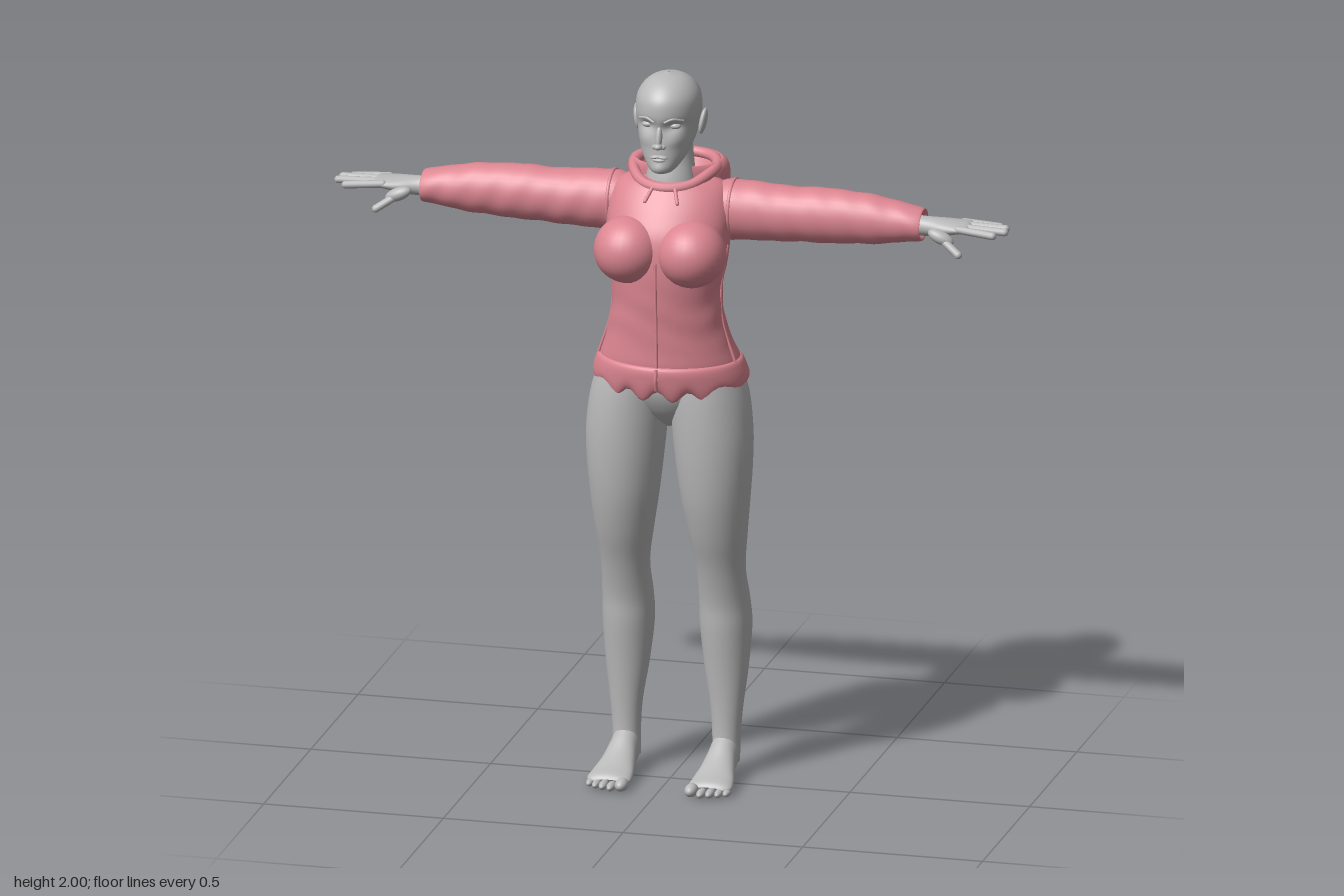
import * as THREE from 'three';

const skin = new THREE.MeshStandardMaterial({ color: 0xb9b9b9 });
skin.name = 'grey skin';
const cloth = new THREE.MeshStandardMaterial({ color: 0xdc8691 });
cloth.name = 'pink cloth';

// Smooth loft through oval sections along an axis; each row is [t, a0, a1, b0, b1].
// Axis y: a = x, b = z. Axis x: a = z, b = y. Axis z: a = x, b = y.
function loft(axis, rows, { seg = 32, sub = 5, warp } = {}) {
  const pos = [], idx = [], n = (rows.length - 1) * sub;
  for (let i = 0; i <= n; i++) {
    const k = Math.min(Math.floor(i / sub), rows.length - 2), u = i / sub - k;
    const at = m => rows[Math.max(0, Math.min(rows.length - 1, m))];
    const [t, a0, a1, b0, b1] = rows[k].map((p1, c) => {
      const p0 = at(k - 1)[c], p2 = at(k + 1)[c], p3 = at(k + 2)[c];
      return p1 + 0.5 * u * (p2 - p0 + u * (2 * p0 - 5 * p1 + 4 * p2 - p3 + u * (3 * (p1 - p2) + p3 - p0)));
    });
    for (let j = 0; j < seg; j++) {
      const q = (j / seg) * Math.PI * 2, c = Math.cos(q), s = Math.sin(q);
      const oval = (w, lo, hi) => (lo + hi) / 2 + w * (hi - lo) / 2;
      const v = axis === 'y' ? new THREE.Vector3(oval(c, a0, a1), t, oval(s, b0, b1))
        : axis === 'x' ? new THREE.Vector3(t, oval(s, b0, b1), oval(c, a0, a1))
        : new THREE.Vector3(oval(s, a0, a1), oval(c, b0, b1), t);
      if (warp) warp(v, q);
      pos.push(v.x, v.y, v.z);
      if (i < n) {
        const a = i * seg + j, d = i * seg + (j + 1) % seg;
        idx.push(a, a + seg, d, d, a + seg, d + seg);
      }
    }
  }
  const g = new THREE.BufferGeometry();
  g.setAttribute('position', new THREE.Float32BufferAttribute(pos, 3));
  g.setIndex(idx);
  g.computeVertexNormals();
  return g;
}

// Loft along y, symmetric in x: rows are [y, halfWidth, back, front]
const trunk = (rows, opt) => loft('y', rows.map(([y, w, b, f]) => [y, -w, w, b, f]), opt);

function ball(x, y, z, rx, ry, rz, tiltX = 0, tiltZ = 0) {
  return new THREE.SphereGeometry(1, 28, 20).scale(rx, ry, rz).rotateX(tiltX).rotateZ(tiltZ).translate(x, y, z);
}

function rod(from, to, r) {
  const a = new THREE.Vector3(...from), b = new THREE.Vector3(...to), d = b.clone().sub(a);
  const q = new THREE.Quaternion().setFromUnitVectors(new THREE.Vector3(0, 1, 0), d.clone().normalize());
  const mid = a.add(b).multiplyScalar(0.5);
  return new THREE.CapsuleGeometry(r, d.length(), 6, 12).applyQuaternion(q).translate(mid.x, mid.y, mid.z);
}

function tube(points, r, closed = false) {
  const curve = new THREE.CatmullRomCurve3(points.map(p => new THREE.Vector3(...p)), closed);
  return new THREE.TubeGeometry(curve, 60, r, 10, closed);
}

function mirrored(geo) {
  const g = geo.clone().scale(-1, 1, 1), ix = g.index.array;
  for (let i = 0; i < ix.length; i += 3) [ix[i], ix[i + 1]] = [ix[i + 1], ix[i]];
  return g;
}

export function createModel() {
  const model = new THREE.Group();
  model.name = 'figure';
  const add = (name, geo, mat) => {
    const m = new THREE.Mesh(geo, mat);
    m.name = name;
    model.add(m);
  };
  const pair = (name, geo, mat) => {
    add(name + 'Left', geo, mat);
    add(name + 'Right', mirrored(geo), mat);
  };
  const bump = (x, y, w, h) => Math.exp(-((x / w) ** 2) - (y / h) ** 2);

  // Head with eye sockets and cheeks, and neck
  add('head', trunk([
    [1.741, 0.004, 0.08, 0.095], [1.745, 0.03, 0.05, 0.12], [1.78, 0.058, -0.01, 0.122],
    [1.82, 0.074, -0.06, 0.12], [1.86, 0.083, -0.09, 0.118], [1.9, 0.088, -0.102, 0.126],
    [1.94, 0.084, -0.097, 0.122], [1.97, 0.067, -0.072, 0.1], [1.99, 0.04, -0.035, 0.067], [2, 0.002, 0.01, 0.02],
  ], {
    seg: 64, sub: 6, warp: v => {
      if (v.z < 0.03) return;
      const x = Math.abs(v.x);
      v.z += 0.006 * bump(x - 0.045, v.y - 1.835, 0.025, 0.02) - 0.014 * bump(x - 0.036, v.y - 1.874, 0.022, 0.014)
        + 0.005 * bump(x, v.y - 1.758, 0.02, 0.012);
    },
  }), skin);
  add('neck', trunk([[1.62, 0.085, -0.08, 0.06], [1.7, 0.068, -0.075, 0.052], [1.76, 0.06, -0.07, 0.038],
    [1.83, 0.055, -0.07, 0.04]]), skin);

  // Face
  add('noseBridge', ball(0, 1.846, 0.119, 0.009, 0.034, 0.012, -0.25), skin);
  add('noseTip', ball(0, 1.822, 0.129, 0.012, 0.009, 0.013), skin);
  pair('nostril', ball(0.011, 1.819, 0.121, 0.008, 0.007, 0.009), skin);
  pair('eye', ball(0.037, 1.874, 0.093, 0.017, 0.009, 0.012), skin);
  pair('brow', tube([[0.014, 1.888, 0.121], [0.035, 1.897, 0.115], [0.06, 1.89, 0.092]], 0.004), skin);
  pair('upperLip', ball(0.009, 1.791, 0.12, 0.015, 0.005, 0.01, 0, -0.15), skin);
  add('lowerLip', ball(0, 1.782, 0.12, 0.018, 0.006, 0.01), skin);
  pair('ear', ball(0.091, 1.863, -0.003, 0.01, 0.036, 0.022, -0.2, -0.15), skin);

  // Hips and legs
  add('pelvis', trunk([[1.0, 0.01, -0.03, 0.02], [1.02, 0.04, -0.06, 0.05], [1.06, 0.12, -0.09, 0.085],
    [1.12, 0.18, -0.11, 0.11], [1.2, 0.18, -0.12, 0.11]]), skin);
  pair('buttock', ball(0.093, 1.095, -0.062, 0.095, 0.1, 0.093), skin);
  pair('leg', loft('y', [
    [0.04, 0.1, 0.175, -0.11, -0.025], [0.12, 0.1, 0.178, -0.106, -0.03], [0.2, 0.094, 0.185, -0.108, -0.027],
    [0.3, 0.078, 0.197, -0.128, -0.018], [0.42, 0.065, 0.206, -0.151, -0.003], [0.5, 0.065, 0.204, -0.135, 0.005],
    [0.6, 0.066, 0.2, -0.095, 0.032], [0.7, 0.05, 0.21, -0.09, 0.068], [0.8, 0.033, 0.22, -0.095, 0.095],
    [0.9, 0.02, 0.228, -0.1, 0.11], [1.0, 0.01, 0.229, -0.11, 0.117], [1.1, 0.004, 0.216, -0.12, 0.117],
    [1.18, 0.01, 0.19, -0.11, 0.11],
  ]), skin);

  // Feet and toes
  pair('foot', loft('z', [
    [-0.115, 0.135, 0.14, 0.035, 0.04], [-0.105, 0.112, 0.163, 0.008, 0.085], [-0.06, 0.1, 0.175, 0, 0.125],
    [-0.02, 0.097, 0.178, 0, 0.108], [0.03, 0.09, 0.187, 0, 0.074], [0.08, 0.082, 0.198, 0, 0.05],
    [0.12, 0.082, 0.2, 0.002, 0.038], [0.135, 0.1, 0.18, 0.012, 0.025],
  ]), skin);
  [[0.097, 0.146, 0.018], [0.125, 0.148, 0.012], [0.148, 0.141, 0.012], [0.17, 0.131, 0.011], [0.19, 0.118, 0.011]]
    .forEach(([x, z, r], i) => pair('toe' + (i + 1), ball(x, r, z, r, r, 0.029), skin));

  // Hands, fingers and thumbs
  pair('hand', loft('x', [
    [0.64, -0.07, -0.005, 1.575, 1.635], [0.7, -0.066, -0.008, 1.578, 1.632], [0.75, -0.078, 0.004, 1.583, 1.63],
    [0.79, -0.084, 0.01, 1.592, 1.627], [0.82, -0.084, 0.008, 1.6, 1.624], [0.83, -0.06, -0.015, 1.61, 1.616],
  ]), skin);
  [[0.0, 0.9, 0.014, 1.607], [-0.024, 0.927, -0.012, 1.612], [-0.049, 0.922, -0.044, 1.612], [-0.074, 0.898, -0.077, 1.606]]
    .forEach(([z0, x, z, y], i) => pair('finger' + (i + 1), rod([0.8, 1.613, z0], [x, y, z], 0.0105), skin));
  pair('thumbBase', ball(0.755, 1.59, 0.008, 0.038, 0.018, 0.02, 0, -0.4), skin);
  pair('thumb', rod([0.76, 1.585, 0.012], [0.81, 1.553, 0.035], 0.011), skin);

  // Sweater body with soft folds at the waist
  add('sweaterBody', trunk([
    [1.17, 0.195, -0.15, 0.135], [1.2, 0.192, -0.147, 0.145], [1.25, 0.174, -0.122, 0.146], [1.32, 0.156, -0.098, 0.15],
    [1.4, 0.15, -0.098, 0.157], [1.48, 0.163, -0.112, 0.16], [1.56, 0.17, -0.125, 0.15], [1.62, 0.17, -0.13, 0.118],
    [1.67, 0.155, -0.12, 0.082], [1.695, 0.12, -0.1, 0.06], [1.7, 0.07, -0.07, 0.04],
  ], {
    seg: 64, warp: (v, q) => {
      const k = 1 + 0.008 * Math.sin(v.y * 70 + 3 * Math.sin(q * 2)) * bump(0, v.y - 1.34, 1, 0.09);
      v.x *= k;
      v.z *= k;
    },
  }), cloth);
  pair('chest', ball(0.088, 1.52, 0.107, 0.094, 0.092, 0.096), cloth);
  pair('sideSeam', tube([[0.19, 1.2, 0.035], [0.156, 1.31, 0.035], [0.15, 1.4, 0.035], [0.168, 1.53, 0.03]], 0.004), cloth);
  add('frontSeam', tube([[0, 1.2, 0.145], [0, 1.32, 0.15], [0, 1.42, 0.158], [0, 1.5, 0.16]], 0.004), cloth);

  // Hem band, scalloped along the front
  add('hem', trunk([
    [1.165, 0.175, -0.12, 0.1], [1.135, 0.195, -0.15, 0.125], [1.13, 0.206, -0.163, 0.138], [1.15, 0.214, -0.172, 0.15],
    [1.18, 0.206, -0.165, 0.156], [1.2, 0.196, -0.153, 0.152], [1.203, 0.18, -0.135, 0.135],
  ], {
    seg: 96, warp: v => {
      if (v.y < 1.17 && v.z > 0) {
        const f = Math.min(1, v.z / 0.1) * (1.17 - v.y) / 0.04;
        v.y -= f * (0.012 - 0.014 * Math.cos(Math.abs(v.x) * 75));
      }
    },
  }), cloth);
  add('hemSeam', tube([[0, 1.2, 0.153], [0, 1.17, 0.157], [0, 1.14, 0.149]], 0.005), cloth);
  add('hemBackSeam', tube([[0, 1.2, -0.155], [0, 1.16, -0.173], [0, 1.135, -0.167]], 0.004), cloth);

  // Sleeves with wrinkles and a turned-in cuff
  pair('sleeve', loft('x', [
    [0.1, -0.1, 0.03, 1.55, 1.67], [0.17, -0.115, 0.035, 1.527, 1.692], [0.3, -0.11, 0.032, 1.532, 1.685],
    [0.45, -0.105, 0.03, 1.538, 1.687], [0.56, -0.1, 0.025, 1.545, 1.678], [0.65, -0.094, 0.02, 1.558, 1.662],
    [0.69, -0.09, 0.015, 1.563, 1.652], [0.694, -0.084, 0.009, 1.57, 1.645], [0.68, -0.065, -0.01, 1.58, 1.63],
  ], {
    sub: 10, warp: (v, q) => {
      const k = 1 + 0.025 * Math.sin(v.x * 62 + 2.2 * Math.sin(q)) * Math.sin(v.x * 17 + q);
      v.y = 1.61 + (v.y - 1.61) * k;
      v.z = -0.038 + (v.z + 0.038) * k;
    },
  }), cloth);
  pair('shoulderSeam', new THREE.TorusGeometry(0.08, 0.005, 8, 40).rotateY(Math.PI / 2)
    .scale(1, 1.02, 0.92).translate(0.168, 1.61, -0.04), cloth);

  // Lowered hood with its rolled rim, and the collar around the neck
  add('hood', trunk([
    [1.478, 0.003, -0.135, -0.125], [1.49, 0.048, -0.168, -0.09], [1.53, 0.086, -0.192, -0.05],
    [1.6, 0.12, -0.207, -0.01], [1.66, 0.137, -0.21, 0.01], [1.71, 0.138, -0.2, 0.015], [1.732, 0.122, -0.182, 0.015],
    [1.722, 0.106, -0.16, 0.015], [1.67, 0.085, -0.125, 0.01], [1.66, 0.04, -0.07, 0.0],
  ], { seg: 48 }), cloth);
  const half = [[0.06, 1.69, 0.045], [0.1, 1.708, -0.005], [0.113, 1.72, -0.07], [0.08, 1.723, -0.135]];
  const flip = half.map(([x, y, z]) => [-x, y, z]).reverse();
  add('collar', tube([[0, 1.685, 0.062], ...half, [0, 1.724, -0.16], ...flip], 0.015, true), cloth);
  pair('drawstring', rod([0.03, 1.69, 0.066], [0.045, 1.655, 0.098], 0.005), cloth);
  return model;
}
